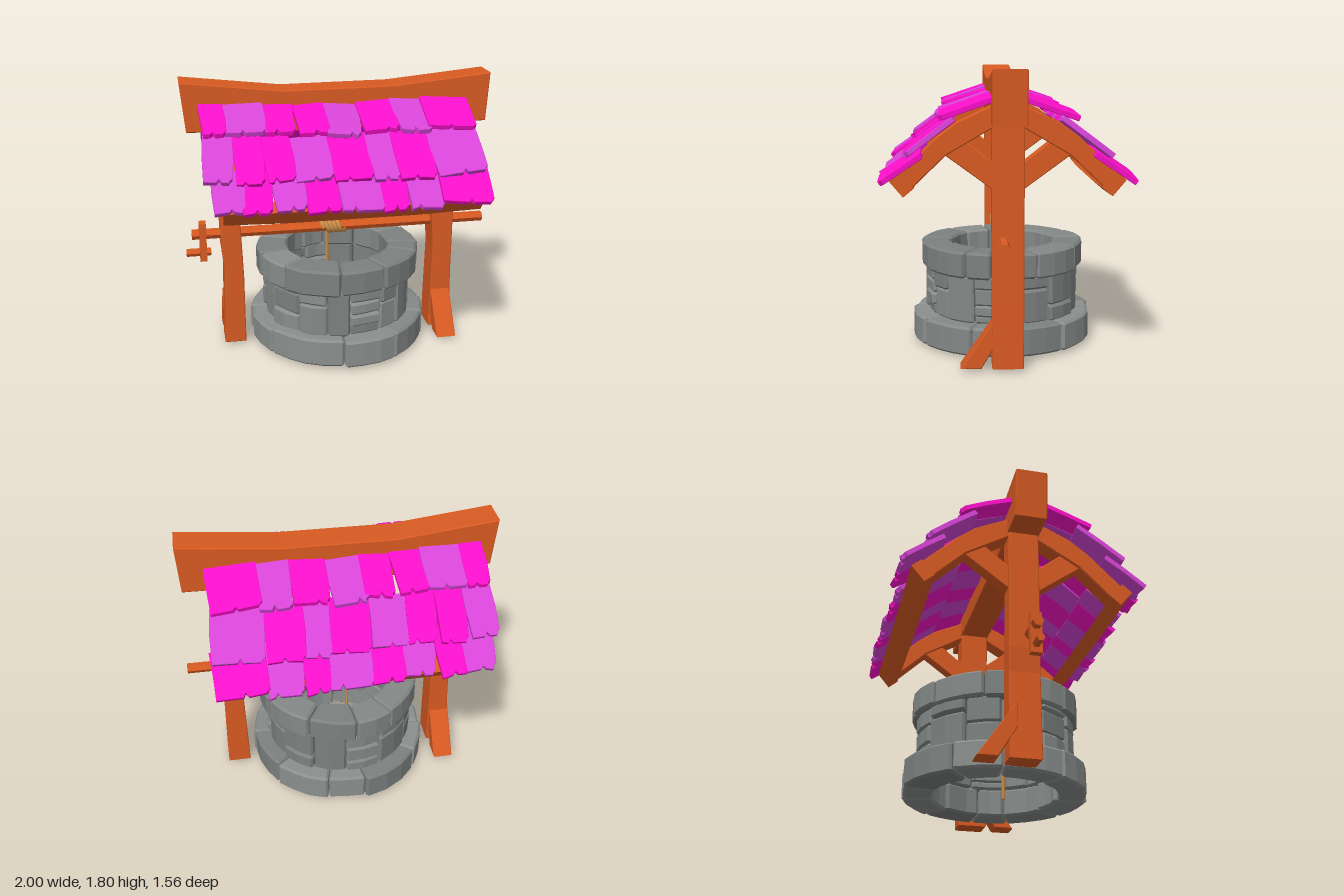
import * as THREE from 'three';

const mat = (color) => new THREE.MeshStandardMaterial({ color, flatShading: true });
const WOOD = mat(0xd85a22), STONES = [mat(0x848987), mat(0x7c817f), mat(0x8a8f8d)], ROPE = mat(0xc98c48);
const TILES = { M: mat(0xff10cc), P: mat(0xd845d8) };

let seed = 7;
const rand = () => (seed = (seed * 16807) % 2147483647) / 2147483647;
const jit = (a) => (rand() * 2 - 1) * a;

function add(parent, name, geo, material) {
  const m = new THREE.Mesh(geo, material);
  m.name = name;
  parent.add(m);
  return m;
}

// Flat outline given thickness, centred on its depth
function prism(pts, depth, bevel = 0.006) {
  const shape = new THREE.Shape(pts.map(([x, y]) => new THREE.Vector2(x, y)));
  const d = depth - 2 * bevel;
  return new THREE.ExtrudeGeometry(shape, {
    depth: d, bevelEnabled: bevel > 0, bevelSize: bevel, bevelOffset: -bevel, bevelThickness: bevel, bevelSegments: 1,
  }).translate(0, 0, -d / 2);
}

// Outline in (z, y), thickness along x
const sidePrism = (pts, depth, x) => prism(pts, depth).rotateY(-Math.PI / 2).translate(x, 0, 0);

// One curved, chamfered stone between two angles (degrees, 0 at the front)
function stone(parent, name, r0, r1, y0, y1, a0, a1) {
  const A0 = THREE.MathUtils.degToRad(a0), A1 = THREE.MathUtils.degToRad(a1);
  const n = Math.max(1, Math.round((a1 - a0) / 14)), c = 0.016, gap = 0.003;
  const pts = [];
  const put = (r, a) => pts.push([r * Math.sin(a), -r * Math.cos(a)]);
  const outer = r1 + jit(0.012), inner = r0 + jit(0.01);
  const arc = (r, from, to) => {
    const s = Math.sign(to - from);
    put(r === outer ? r - c : r + c, from + s * gap / r);
    for (let i = 0; i <= n; i++) {
      const t = i / n;
      put(r + jit(0.006), THREE.MathUtils.lerp(from + s * c / r, to - s * c / r, t));
    }
    put(r === outer ? r - c : r + c, to - s * gap / r);
  };
  arc(outer, A0, A1);
  arc(inner, A1, A0);
  const h = y1 - y0 + jit(0.008);
  const geo = prism(pts, h, 0.014).rotateX(-Math.PI / 2);
  geo.rotateX(jit(0.008)).rotateZ(jit(0.008)).translate(0, (y0 + y1) / 2, 0);
  add(parent, name, geo, STONES[Math.floor(rand() * 3)]);
}

function buildWell(root) {
  const well = new THREE.Group();
  well.name = 'well';
  root.add(well);
  const course = (name, r0, r1, y0, y1, cuts) =>
    cuts.forEach((a, i) => stone(well, name, r0, r1, y0, y1, a, cuts[i + 1] ?? cuts[0] + 360));
  course('baseStone', 0.39, 0.588, 0.025, 0.205, [-58, -5, 30, 68, 92, 128, 165, 190, 232, 262]);
  course('rimStone', 0.34, 0.538, 0.5, 0.665, [-49, -7, 25, 62, 80, 112, 150, 185, 212, 250, 282]);
  // Wall panels, each split into its own stack of stones
  const panels = [[-68, [0.2, 0.32, 0.47, 0.51]], [-40, [0.2, 0.41, 0.51]], [-17, [0.2, 0.51]], [0, [0.2, 0.27, 0.34, 0.43, 0.51]],
    [25, [0.2, 0.39, 0.51]], [42, [0.2, 0.51]], [66, [0.2, 0.25, 0.32, 0.43, 0.51]], [100, [0.2, 0.42, 0.51]],
    [125, [0.2, 0.31, 0.51]], [152, [0.2, 0.51]], [178, [0.2, 0.28, 0.4, 0.51]], [205, [0.2, 0.43, 0.51]],
    [236, [0.2, 0.35, 0.51]], [262, [0.2, 0.51]]];
  panels.forEach(([a, ys], i) => {
    const end = i + 1 < panels.length ? panels[i + 1][0] : panels[0][0] + 360;
    for (let k = 0; k + 1 < ys.length; k++) stone(well, 'wallStone', 0.37, 0.495, ys[k], ys[k + 1], a, end);
  });
}

function buildFrame(root) {
  // Posts
  add(root, 'rightPost', prism([[-0.775, 0.02], [-0.635, 0.02], [-0.635, 0.5], [-0.655, 1.1], [-0.645, 1.55], [-0.78, 1.55], [-0.775, 0.7], [-0.76, 0.55]], 0.19), WOOD);
  add(root, 'leftPost', prism([[0.635, 0.02], [0.785, 0.02], [0.78, 0.45], [0.785, 1.55], [0.63, 1.55], [0.63, 0.9], [0.65, 0.6]], 0.19), WOOD);
  // Sagging ridge beam
  add(root, 'ridgeBeam', prism([[-0.99, 1.805], [-0.96, 1.49], [-0.35, 1.47], [0.3, 1.47], [0.97, 1.48], [0.99, 1.795], [0.35, 1.735], [-0.35, 1.73]], 0.2), WOOD);
  // Slanted feet: one to the front, one to the back
  for (const [x, s] of [[0.71, 1], [-0.71, -1]])
    add(root, 'footBrace', sidePrism([[0.285, 0.02], [0.16, 0.02], [0.05, 0.2], [0.05, 0.36]].map(([z, y]) => [s * z, y]), 0.13, x), WOOD);
  for (const s of [1, -1]) {
    for (const x of [-0.71, 0.71]) {
      const put = (name, pts, w) => add(root, name, sidePrism(pts.map(([z, y]) => [s * z, y]), w, x), WOOD);
      put('rafter', [[0, 1.63], [0.3, 1.49], [0.42, 1.4], [0.68, 1.15], [0.61, 1.06], [0.36, 1.3], [0, 1.51]], 0.12);
      put('kneeBrace', [[0.08, 1.09], [0.38, 1.31], [0.27, 1.4], [0.08, 1.25]], 0.09);
    }
    // Eave beam across the rafter ends, dipping towards the middle
    const eave = new THREE.BoxGeometry(1.57, 0.08, 0.125, 4, 1, 1).rotateX(-s * 0.87);
    const p = eave.attributes.position;
    for (let i = 0; i < p.count; i++) p.setY(i, p.getY(i) - (Math.abs(p.getX(i)) < 0.5 ? 0.012 : 0));
    add(root, 'eaveBeam', eave.translate(0, 1.133, s * 0.618), WOOD);
  }
}

// Roof rows: top edge and lower edge as (z, y), column cuts along x, tile colours
const ROWS = [
  { top: [0.08, 1.655], low: [0.41, 1.545], cuts: [-0.88, -0.74, -0.49, -0.3, -0.11, 0.1, 0.32, 0.52, 0.83], tint: 'MPMMPMPM' },
  { top: [0.32, 1.515], low: [0.6, 1.31], cuts: [-0.87, -0.7, -0.53, -0.36, -0.13, 0.11, 0.27, 0.5, 0.81], tint: 'PMMPMPMP' },
  { top: [0.5, 1.345], low: [0.745, 1.17], cuts: [-0.84, -0.66, -0.49, -0.31, -0.1, 0.16, 0.31, 0.52, 0.84], tint: 'PMPMPMPM' },
];

function shingle(w, len) {
  const h = w / 2, n = jit(0.25) * w, d = 0.02 + rand() * 0.015;
  const pts = [[-h, 0], [h, 0], [h + jit(0.008), len * 0.5], [h - 0.004, len - 0.03], [h - 0.022, len - 0.012], [h - 0.025, len + jit(0.01)],
    [n + 0.016, len], [n, len - d], [n - 0.016, len], [-h + 0.004, len + jit(0.012)], [-h + jit(0.008), len * 0.45]];
  return prism(pts, 0.034, 0.003);
}

function buildRoof(root) {
  for (const s of [1, -1]) {
    const slope = new THREE.Group();
    slope.name = s > 0 ? 'frontRoof' : 'backRoof';
    slope.rotation.y = s > 0 ? 0 : Math.PI;
    root.add(slope);
    seed = 11;
    ROWS.forEach(({ top, low, cuts, tint }, r) => {
      const dz = low[0] - top[0], dy = low[1] - top[1], len = Math.hypot(dz, dy);
      const across = new THREE.Vector3(1, 0, 0), down = new THREE.Vector3(0, dy / len, dz / len);
      const basis = new THREE.Matrix4().makeBasis(across, down, new THREE.Vector3().crossVectors(across, down));
      for (let i = 0; i < 8; i++) {
        const w = cuts[i + 1] - cuts[i], x = (cuts[i] + cuts[i + 1]) / 2;
        // Rows follow the sag of the ridge
        const lift = x * x * (x < 0 ? 0.05 : 0.02) + jit(0.007) - 0.01;
        const geo = shingle(w + 0.006, len + jit(0.02));
        const twist = new THREE.Matrix4().makeRotationFromEuler(new THREE.Euler(jit(0.025), s * jit(0.08), s * jit(0.06)));
        geo.applyMatrix4(twist).applyMatrix4(basis).translate(s * x, top[1] + lift - 0.016, top[0]);
        add(slope, `shingleRow${r + 1}`, geo, TILES[tint[i]]);
      }
    });
  }
}

function buildWinch(root) {
  const rod = (name, r, x0, x1, y) =>
    add(root, name, new THREE.CylinderGeometry(r, r, x1 - x0, 6, 3).rotateZ(Math.PI / 2).translate((x0 + x1) / 2, y, 0.03), WOOD);
  rod('axle', 0.034, -0.96, 1, 0.79);
  rod('crankHandle', 0.026, -1, -0.84, 0.665);
  add(root, 'crankArm', new THREE.BoxGeometry(0.045, 0.26, 0.07).translate(-0.89, 0.74, 0.03), WOOD);
  // Rope wound on the axle, with its end hanging into the well
  const coil = [];
  for (let i = 0; i <= 60; i++) {
    const a = i / 60 * Math.PI * 10;
    coil.push(new THREE.Vector3(-0.095 + i / 60 * 0.13 - 0.018 * Math.sin(a), 0.79 + 0.036 * Math.sin(a), 0.03 + 0.036 * Math.cos(a)));
  }
  add(root, 'ropeCoil', new THREE.TubeGeometry(new THREE.CatmullRomCurve3(coil), 120, 0.014, 6), ROPE);
  add(root, 'hangingRope', new THREE.CylinderGeometry(0.011, 0.011, 0.79, 6).translate(-0.072, 0.395, 0.04), ROPE);
}

export function createModel() {
  const root = new THREE.Group();
  root.name = 'roofedWell';
  buildWell(root);
  buildFrame(root);
  buildRoof(root);
  buildWinch(root);
  return root;
}
